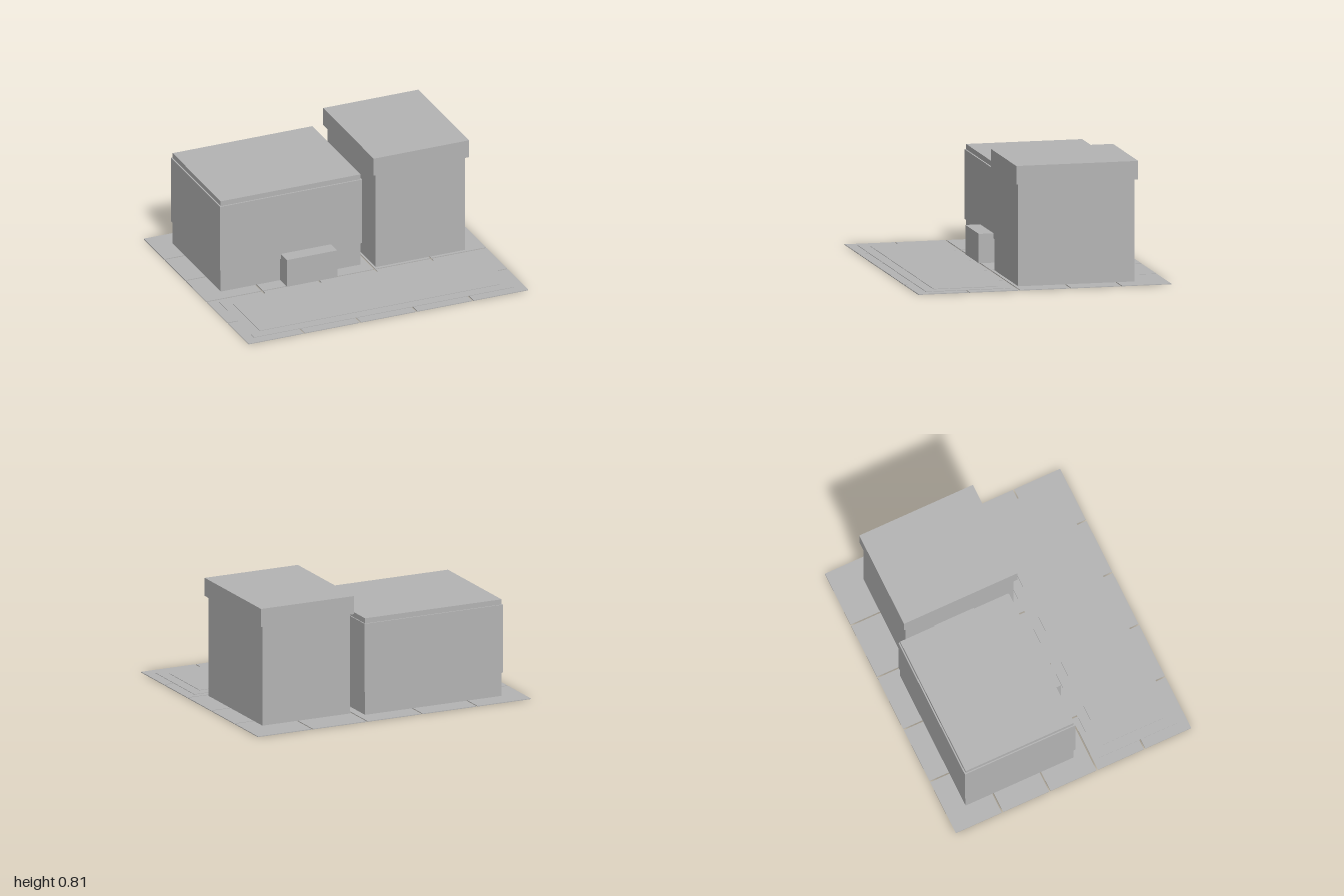
import * as THREE from 'three';

export function createModel() {
  const model = new THREE.Group();
  const grey = new THREE.MeshStandardMaterial({ color: 0xb3b3b3 });
  grey.name = 'concreteGrey';

  // Box given by its limits on each axis
  function box(name, [x0, x1], [y0, y1], [z0, z1], parent = model) {
    const mesh = new THREE.Mesh(new THREE.BoxGeometry(x1 - x0, y1 - y0, z1 - z0), grey);
    mesh.position.set((x0 + x1) / 2, (y0 + y1) / 2, (z0 + z1) / 2);
    mesh.name = name;
    parent.add(mesh);
    return mesh;
  }

  // Ground: 5 x 5 paving slabs with narrow joints
  const paving = new THREE.Group();
  paving.name = 'paving';
  model.add(paving);
  const count = 5, joint = 0.01, tileHeight = 0.005;
  const pitchX = (2 + joint) / count, pitchZ = (1.706 + joint) / count;
  for (let i = 0; i < count; i++) {
    for (let j = 0; j < count; j++) {
      const x = -1 + i * pitchX, z = -0.853 + j * pitchZ;
      box('pavingSlab', [x, x + pitchX - joint], [0, tileHeight], [z, z + pitchZ - joint], paving);
    }
  }

  // Stepped forecourt
  box('forecourtLower', [-0.93, 0.93], [tileHeight, 0.008], [0.215, 0.785]);
  box('forecourtUpper', [-0.86, 0.86], [0.008, 0.011], [0.28, 0.715]);

  // Main hall with a slightly raised band of cladding
  box('hallCore', [-0.855, 0.145], [tileHeight, 0.663], [-0.713, 0.07]);
  box('hallCladding', [-0.863, 0.152], [0.165, 0.628], [-0.722, 0.08]);
  box('entrancePorch', [-0.43, -0.07], [tileHeight, 0.2], [0.06, 0.18]);

  // Tower with an overhanging cap
  box('towerBody', [0.22, 0.86], [tileHeight, 0.685], [-0.64, 0.145]);
  box('towerCap', [0.198, 0.88], [0.685, 0.808], [-0.66, 0.163]);

  // Bridge between hall and tower
  box('linkBridge', [0.14, 0.225], [0.305, 0.453], [-0.43, -0.145]);

  return model;
}
